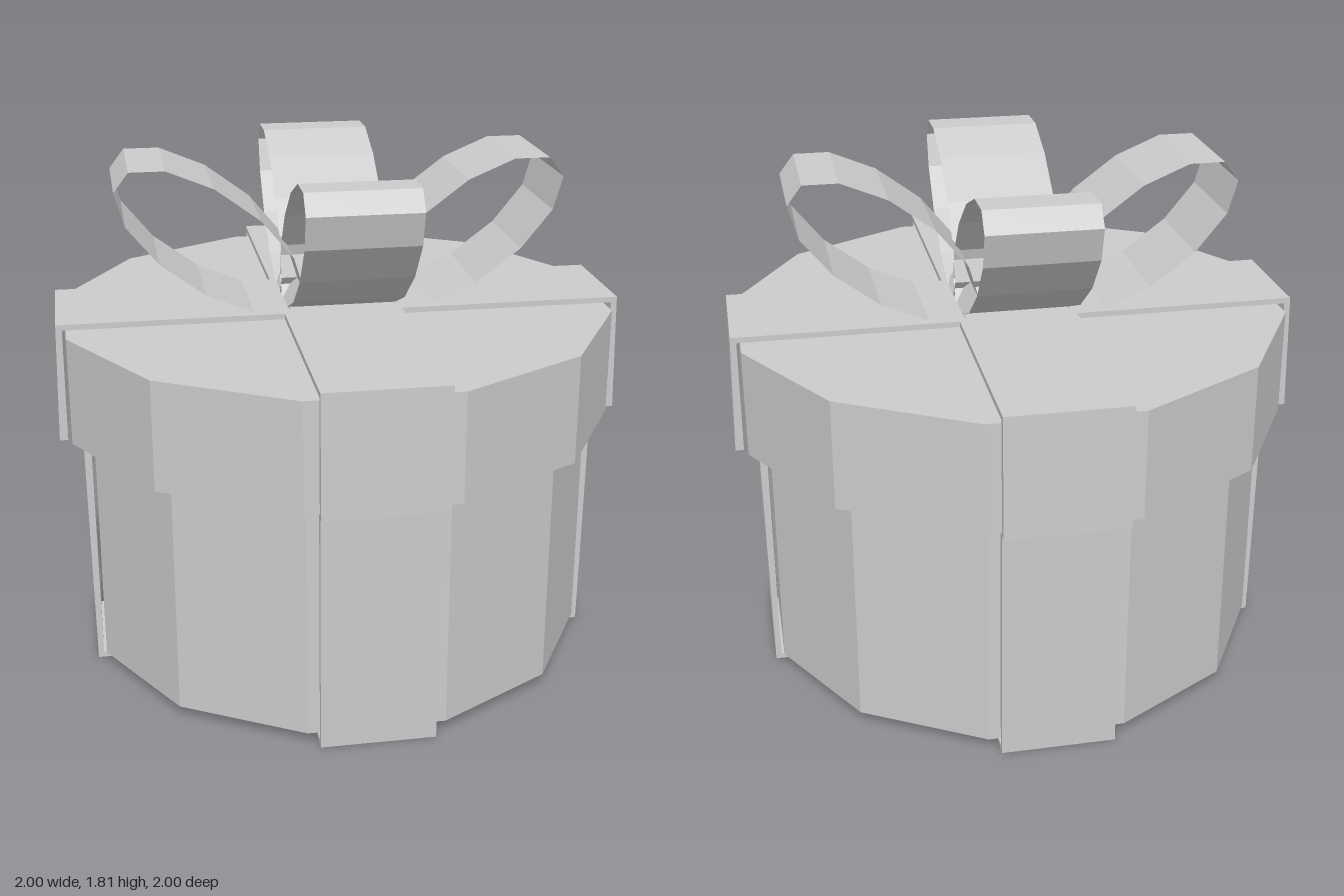
import * as THREE from 'three';

const material = new THREE.MeshStandardMaterial({ color: 0xcccccc, flatShading: true });
const thinMaterial = new THREE.MeshStandardMaterial({ color: 0xcccccc, flatShading: true, side: THREE.DoubleSide });

function addMesh(parent, name, geometry, mat = material) {
  const mesh = new THREE.Mesh(geometry, mat);
  mesh.name = name;
  parent.add(mesh);
  return mesh;
}

// Twelve-sided drum with flat faces toward the four ribbon directions
function drum(flatRadius, y0, y1) {
  const r = flatRadius / Math.cos(Math.PI / 12);
  return new THREE.CylinderGeometry(r, r, y1 - y0, 12)
    .rotateY(Math.PI / 12)
    .translate(0, (y0 + y1) / 2, 0);
}

// Crossed ribbon: four L-shaped arms around a square centre plate.
// The profile runs along x from the plate edge and is extruded across the width.
function crossRibbon(name, halfWidth, plateY0, plateY1, arm) {
  const group = new THREE.Group();
  group.name = name;
  const shape = new THREE.Shape(arm.map(([x, y]) => new THREE.Vector2(x, y)));
  const geometry = new THREE.ExtrudeGeometry(shape, { depth: 2 * halfWidth, bevelEnabled: false })
    .translate(0, 0, -halfWidth);
  for (let i = 0; i < 4; i++) {
    addMesh(group, name + 'Arm', geometry).rotation.y = i * Math.PI / 2;
  }
  const plate = new THREE.BoxGeometry(2 * halfWidth, plateY1 - plateY0, 2 * halfWidth)
    .translate(0, (plateY0 + plateY1) / 2, 0);
  addMesh(group, name + 'Centre', plate);
  return group;
}

// Bow loop: an open twelve-sided band, an ellipse leaning outward along +x
function bowLoop(centreX, halfWidth) {
  const positions = [];
  const index = [];
  const sides = 12;
  for (let i = 0; i <= sides; i++) {
    const a = Math.PI / 12 + i * 2 * Math.PI / sides;
    const x = centreX + 0.238 * Math.cos(a) + 0.212 * Math.sin(a);
    const y = 1.553 + 0.261 * Math.sin(a);
    positions.push(x, y, halfWidth, x, y, -halfWidth);
    if (i < sides) {
      const k = 2 * i;
      index.push(k, k + 1, k + 2, k + 1, k + 3, k + 2);
    }
  }
  const geometry = new THREE.BufferGeometry();
  geometry.setAttribute('position', new THREE.Float32BufferAttribute(positions, 3));
  geometry.setIndex(index);
  geometry.computeVertexNormals();
  return geometry;
}

export function createModel() {
  const model = new THREE.Group();
  model.name = 'giftBox';

  // Box and lid
  addMesh(model, 'boxBody', drum(0.882, 0.04, 0.9));
  addMesh(model, 'boxLid', drum(0.957, 0.88, 1.26));

  // Ribbon under and around the body
  const w = 0.197;
  model.add(crossRibbon('bodyRibbon', w, 0, 0.02, [
    [w, 0], [0.912, 0], [0.92, 0.87], [0.894, 0.87], [0.892, 0.02], [w, 0.02],
  ]));

  // Ribbon over the lid
  const lw = 0.207;
  model.add(crossRibbon('lidRibbon', lw, 1.275, 1.295, [
    [lw, 1.275], [0.969, 1.275], [0.971, 0.875], [1, 0.875], [0.99, 1.295], [lw, 1.295],
  ]));

  // Four bow loops: the side pair sits further out than the front and back pair
  const bow = new THREE.Group();
  bow.name = 'bow';
  const sideLoop = bowLoop(0.455, 0.192);
  const frontLoop = bowLoop(0.296, 0.192);
  for (let i = 0; i < 4; i++) {
    const name = ['leftLoop', 'backLoop', 'rightLoop', 'frontLoop'][i];
    addMesh(bow, name, i % 2 ? frontLoop : sideLoop, thinMaterial).rotation.y = i * Math.PI / 2;
  }
  model.add(bow);

  return model;
}
